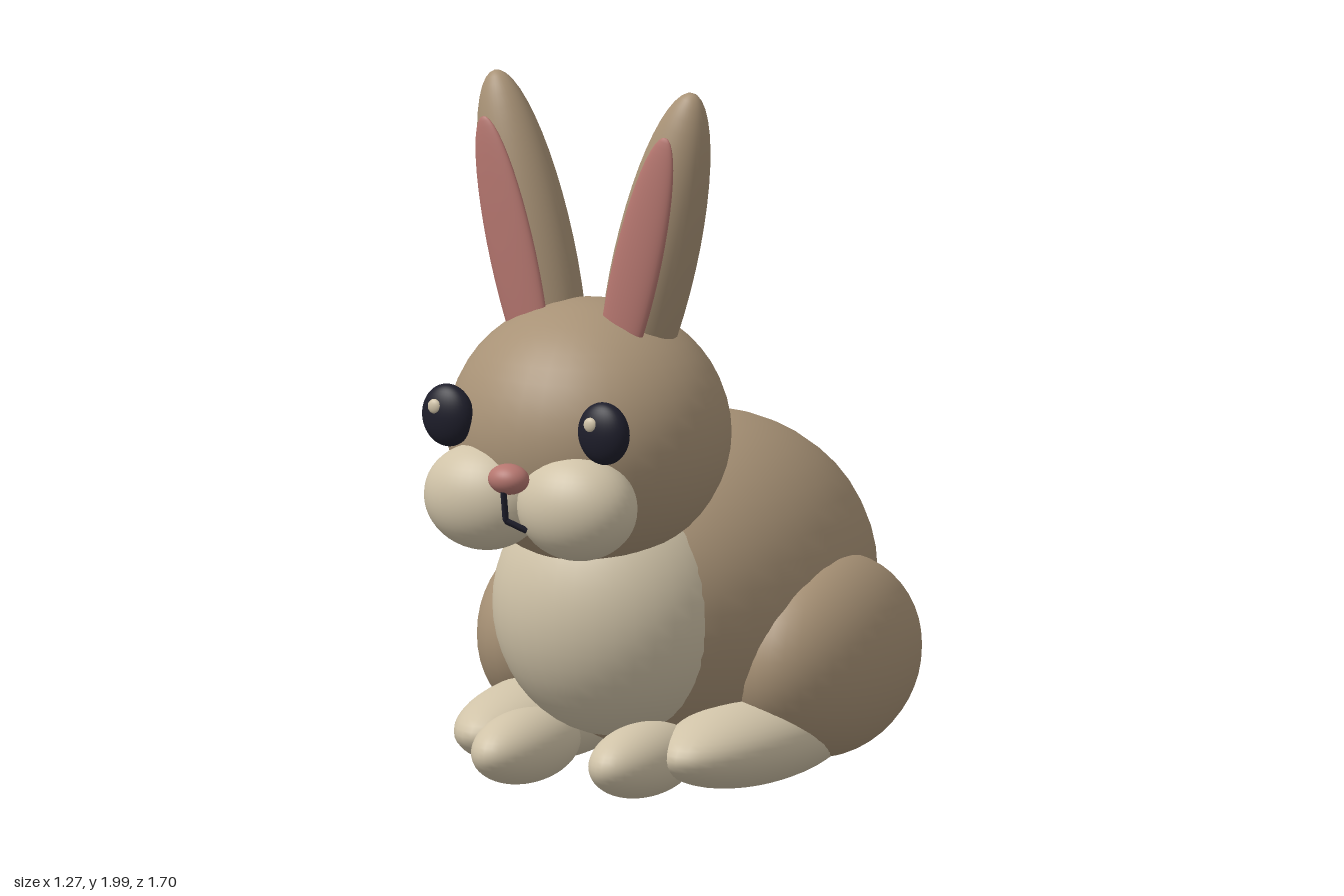
import * as THREE from 'three';

const flat = (name, color) => {
  const m = new THREE.MeshStandardMaterial({ color });
  m.name = name;
  return m;
};

export function createModel() {
  const brown = flat('brown fur', 0xa89276);
  const cream = flat('cream fur', 0xd0c3a8);
  const pink = flat('pink skin', 0xb5766f);
  const dark = flat('dark', 0x1e1e2b);

  const rabbit = new THREE.Group();
  rabbit.name = 'rabbit';
  const ball = new THREE.SphereGeometry(1, 36, 24);

  // Smooth ellipsoid: centre, radii and sideways lean
  const blob = (name, material, centre, radii, lean = 0) => {
    const mesh = new THREE.Mesh(ball, material);
    mesh.name = name;
    mesh.position.set(...centre);
    mesh.scale.set(...radii);
    mesh.rotation.z = lean;
    rabbit.add(mesh);
    return mesh;
  };

  // Trunk, head and tail
  blob('body', brown, [0, 0.515, -0.13], [0.48, 0.475, 0.63]);
  blob('chest', cream, [0, 0.51, 0.25], [0.345, 0.37, 0.32]);
  blob('head', brown, [0, 1.02, 0.38], [0.4, 0.37, 0.38]);
  blob('tail', cream, [0, 0.42, -0.66], [0.2, 0.18, 0.185]);
  blob('nose', pink, [0, 0.95, 0.8], [0.06, 0.043, 0.05]);

  // Paired parts
  for (const [side, s] of [['left', 1], ['right', -1]]) {
    blob(`${side}Thigh`, brown, [s * 0.41, 0.335, -0.193], [0.225, 0.285, 0.36]);
    blob(`${side}HindFoot`, cream, [s * 0.335, 0.128, 0.045], [0.18, 0.122, 0.42]);
    blob(`${side}FrontPaw`, cream, [s * 0.192, 0.113, 0.405], [0.115, 0.103, 0.22]);
    blob(`${side}Cheek`, cream, [s * 0.152, 0.868, 0.685], [0.178, 0.15, 0.138]);
    blob(`${side}Eye`, dark, [s * 0.255, 1.09, 0.71], [0.08, 0.088, 0.045]);
    blob(`${side}EyeGlint`, cream, [s * 0.255 - 0.02, 1.118, 0.748], [0.021, 0.021, 0.012]);
    blob(`${side}Ear`, brown, [s * 0.2, 1.515, 0.357], [0.12, 0.5, 0.105], -s * 0.25);
    blob(`${side}InnerEar`, pink, [s * 0.2, 1.5, 0.458], [0.075, 0.4, 0.024], -s * 0.25);
  }

  // Mouth: a short line under the nose that turns to one side
  const path = new THREE.CurvePath();
  const points = [[0, 0.92, 0.827], [0, 0.835, 0.815], [0.05, 0.807, 0.785]]
    .map((p) => new THREE.Vector3(...p));
  path.add(new THREE.LineCurve3(points[0], points[1]));
  path.add(new THREE.LineCurve3(points[1], points[2]));
  const mouth = new THREE.Mesh(new THREE.TubeGeometry(path, 24, 0.009, 8), dark);
  mouth.name = 'mouth';
  rabbit.add(mouth);

  return rabbit;
}
